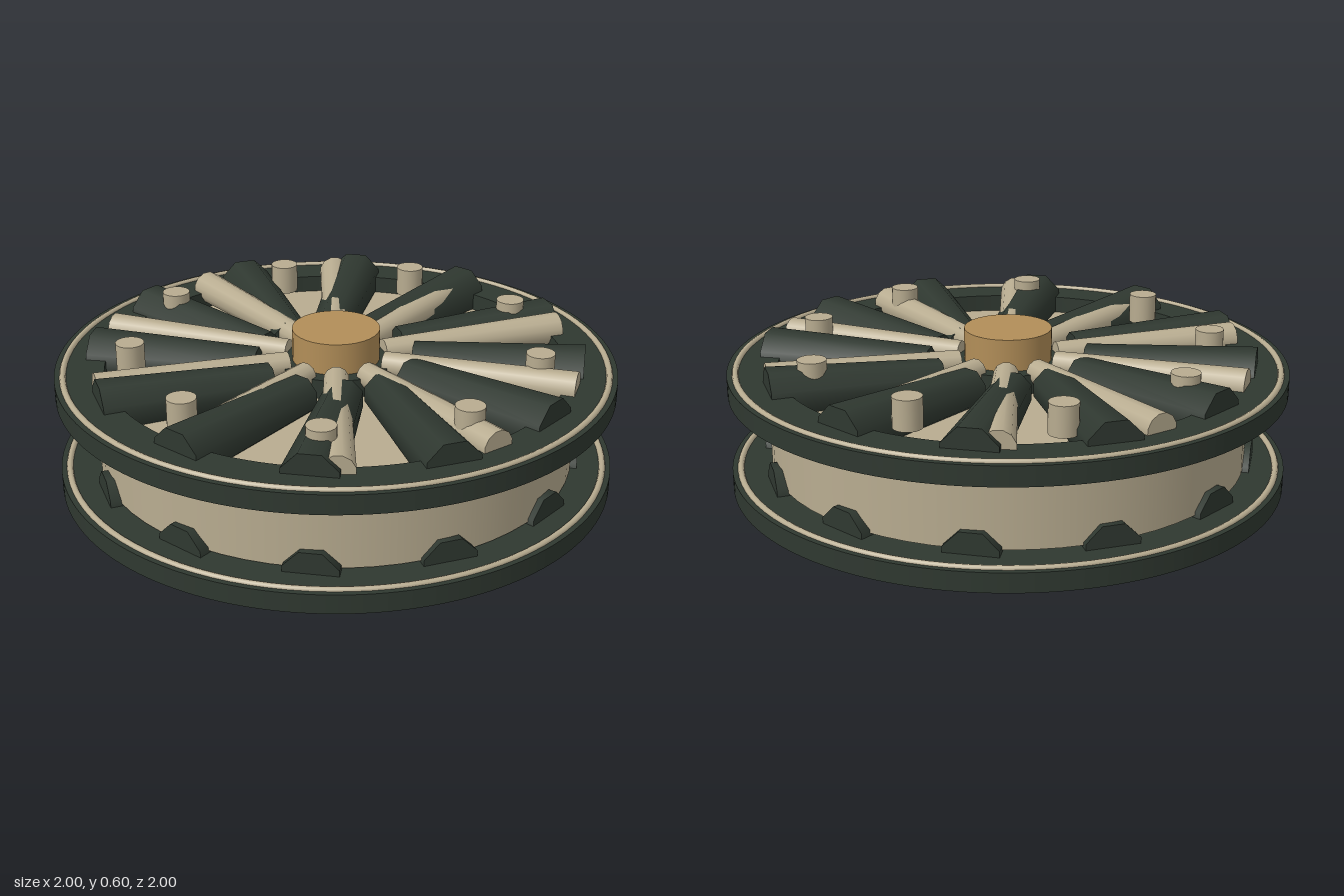
import * as THREE from 'three';

export function createModel() {
  const model = new THREE.Group();
  model.name = 'spokedReel';

  const paint = (name, color) => {
    const m = new THREE.MeshStandardMaterial({ color });
    m.name = name;
    return m;
  };
  const green = paint('darkGreen', 0x2f3830);
  const beige = paint('beige', 0xb8ac90);
  const brass = paint('brass', 0xb28e58);

  const add = (name, geometry, material, x = 0, y = 0, z = 0) => {
    const mesh = new THREE.Mesh(geometry, material);
    mesh.name = name;
    mesh.position.set(x, y, z);
    model.add(mesh);
    return mesh;
  };
  // Cylinder standing between two heights
  const post = (r, y0, y1, sides) =>
    new THREE.CylinderGeometry(r, r, y1 - y0, sides).translate(0, (y0 + y1) / 2, 0);
  // Flat ring with its underside at y = 0
  const ring = (outer, inner, height) => {
    const shape = new THREE.Shape().absarc(0, 0, outer, 0, Math.PI * 2, false);
    shape.holes.push(new THREE.Path().absarc(0, 0, inner, 0, Math.PI * 2, true));
    return new THREE.ExtrudeGeometry(shape, { depth: height, bevelEnabled: false, curveSegments: 80 })
      .rotateX(-Math.PI / 2);
  };
  // Tapered bar lying along +x from radius a to radius b
  const bar = (rIn, rOut, a, b, sides) =>
    new THREE.CylinderGeometry(rOut, rIn, b - a, sides)
      .rotateY(Math.PI / sides)
      .rotateZ(-Math.PI / 2)
      .translate((a + b) / 2, 0, 0);

  // Drum between the two flanges
  add('drum', post(0.858, 0.132, 0.415, 64), beige);

  // Flanges with a raised trim line near the rim
  const flange = ring(1, 0.825, 0.07);
  const trim = new THREE.TorusGeometry(0.97, 0.012, 8, 96).rotateX(Math.PI / 2);
  for (const [side, y] of [['lower', 0.053], ['upper', 0.408]]) {
    add(side + 'Flange', flange, green, 0, y, 0);
    add(side + 'Trim', trim, beige, 0, y + 0.069, 0);
  }

  // Twelve heavy skewed spokes on each face
  const heavySpoke = bar(0.073, 0.102, 0.27, 0.88, 8).translate(0, 0, -0.075);
  for (const [side, y] of [['lower', 0.105], ['upper', 0.457]]) {
    for (let i = 0; i < 12; i++) {
      add(side + 'HeavySpoke', heavySpoke, green, 0, y, 0).rotation.y =
        THREE.MathUtils.degToRad(13.5 + 30 * i);
    }
  }

  // Ten slim radial spokes on the upper face
  const slimSpoke = bar(0.045, 0.06, 0.18, 0.87, 12);
  for (let i = 0; i < 10; i++) {
    add('slimSpoke', slimSpoke, beige, 0, 0.483, 0).rotation.y = (i * Math.PI) / 5;
  }

  // Nine pegs in a circle
  const peg = post(0.051, 0.47, 0.577, 20);
  for (let i = 0; i < 9; i++) {
    const a = (i * Math.PI * 2) / 9;
    add('peg', peg, beige, 0.73 * Math.cos(a), 0, 0.73 * Math.sin(a));
  }

  // Hub and its brass cap
  add('hub', post(0.21, 0.03, 0.485, 24), green);
  add('hubFoot', post(0.25, 0, 0.1, 24), green);
  add('hubCap', post(0.157, 0.44, 0.6, 32), brass);

  return model;
}
